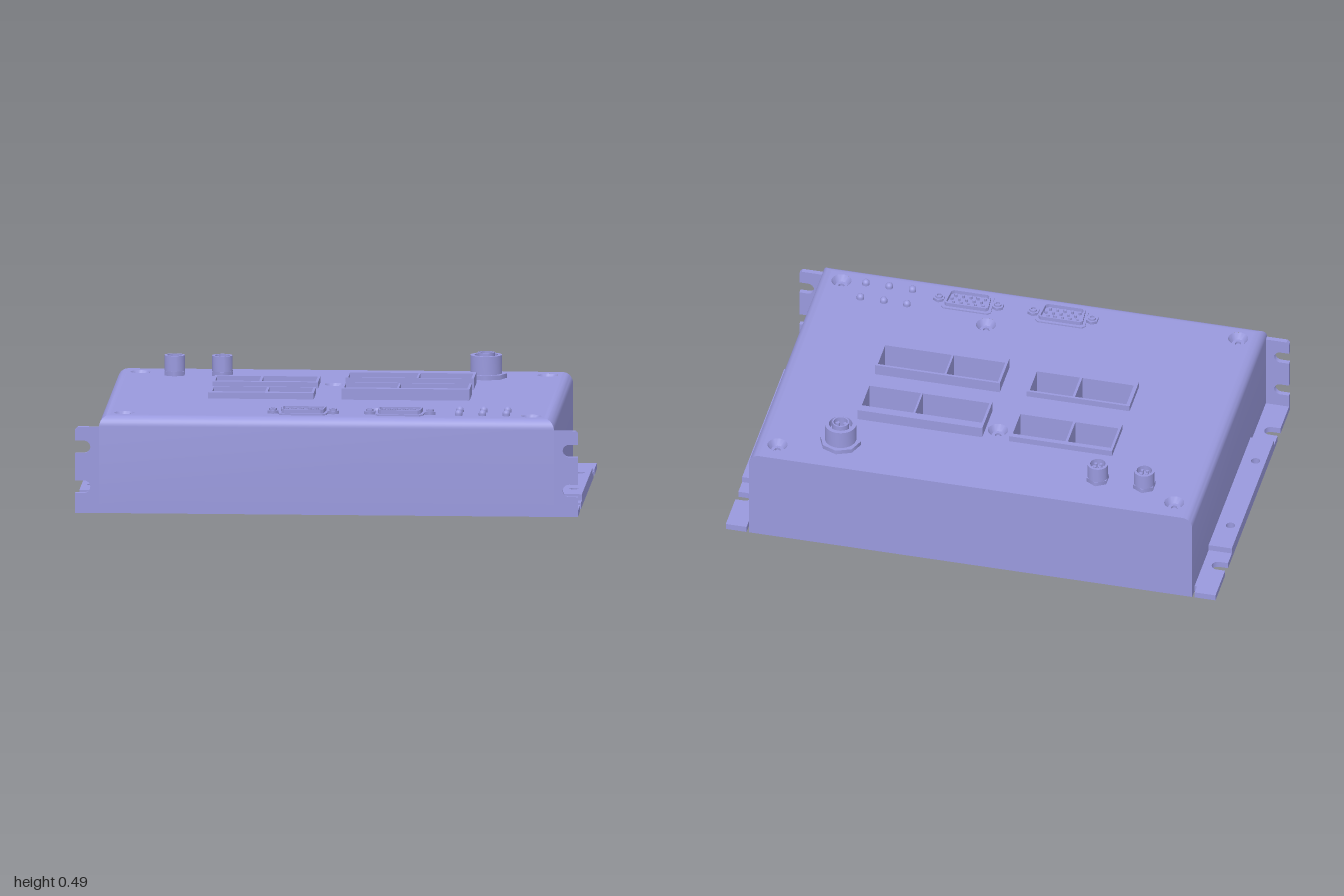
import * as THREE from 'three';
import { toCreasedNormals } from 'three/addons/utils/BufferGeometryUtils.js';

const mat = new THREE.MeshStandardMaterial({ color: 0x9999dd });
const thin = new THREE.MeshStandardMaterial({ color: 0x9999dd, side: THREE.DoubleSide });
const W = 0.905, D = 0.64, TOP = 0.39, R = 0.042, BASE = 0.025;

const poly = pts => new THREE.Shape(pts.map(p => new THREE.Vector2(p[0], p[1])));
const rect = (x0, x1, z0, z1) => poly([[x0, z0], [x1, z0], [x1, z1], [x0, z1]]);
const disc = (x, z, r) => new THREE.Shape().absarc(x, z, r, 0, Math.PI * 2, false);

// Outline in (x, z) extruded between two heights
function slab(shape, y0, y1) {
  const g = new THREE.ExtrudeGeometry(shape, { depth: y1 - y0, bevelEnabled: false, curveSegments: 16 });
  return g.rotateX(Math.PI / 2).translate(0, y1, 0);
}

function add(parent, name, geo, x = 0, y = 0, z = 0, material = mat) {
  const m = new THREE.Mesh(geo, material);
  m.name = name;
  m.position.set(x, y, z);
  parent.add(m);
  return m;
}

// Upright cylinder standing on height y
function post(parent, name, x, y, z, r, h, sides = 24) {
  return add(parent, name, new THREE.CylinderGeometry(r, r, h, sides), x, y + h / 2, z);
}

// Open tube with a rim, from y0 to y1
function sleeve(parent, name, x, z, r, inner, y0, y1) {
  const s = disc(0, 0, r);
  s.holes.push(disc(0, 0, inner));
  add(parent, name, toCreasedNormals(slab(s, y0, y1), 0.6), x, 0, z);
}

const screws = [[-0.81, -0.55], [0.81, -0.55], [-0.81, 0.545], [0.81, 0.545], [-0.02, -0.255], [0.185, 0.4]];

// Sockets: outer x range, outer z range, pocket z range, pocket x ranges, height
const sockets = [
  { x: [-0.5, -0.08], z: [-0.315, -0.14], pz: [-0.295, -0.165], px: [[-0.49, -0.315], [-0.305, -0.09]], top: 0.415 },
  { x: [0.03, 0.54], z: [-0.315, -0.14], pz: [-0.28, -0.15], px: [[0.04, 0.312], [0.32, 0.53]], top: 0.435 },
  { x: [-0.5, -0.08], z: [-0.015, 0.15], pz: [-0.005, 0.12], px: [[-0.485, -0.275], [-0.265, -0.09]], top: 0.415 },
  { x: [0.03, 0.54], z: [-0.015, 0.15], pz: [-0.005, 0.12], px: [[0.04, 0.25], [0.258, 0.53]], top: 0.435 },
];

function addCover(g) {
  // Wall profile: inset and height, rounded at the top
  const rows = [[0, BASE]];
  for (let i = 0; i <= 8; i++) {
    const a = i / 8 * Math.PI / 2;
    rows.push([R * (1 - Math.cos(a)), TOP - R + R * Math.sin(a)]);
  }
  const ring = ([d, y]) => [[-W + d, y, -D], [-W + d, y, D - d], [W - d, y, D - d], [W - d, y, -D]];
  const pos = [];
  for (let i = 0; i < rows.length - 1; i++) {
    const a = ring(rows[i]), b = ring(rows[i + 1]);
    for (let k = 0; k < 3; k++) pos.push(...a[k], ...a[k + 1], ...b[k + 1], ...a[k], ...b[k + 1], ...b[k]);
  }
  const walls = new THREE.BufferGeometry();
  walls.setAttribute('position', new THREE.Float32BufferAttribute(pos, 3));
  add(g, 'coverWalls', toCreasedNormals(walls, 0.5));

  const right = rows.map(([d, y]) => [W - d, y]);
  const left = rows.map(([d, y]) => [-W + d, y]).reverse();
  add(g, 'coverBack', new THREE.ShapeGeometry(poly([...right, ...left])).rotateY(Math.PI), 0, 0, -D);

  // Top face with screw and socket openings
  const top = rect(-W + R, W - R, -D, D - R);
  for (const [x, z] of screws) top.holes.push(disc(x, z, 0.04));
  for (const s of sockets) for (const p of s.px) top.holes.push(rect(p[0], p[1], ...s.pz));
  add(g, 'coverTop', new THREE.ShapeGeometry(top, 16).rotateX(Math.PI / 2), 0, TOP, 0, thin);

  // Countersunk screws
  const bowl = [[0, -0.035], [0.012, -0.035], [0.012, -0.025], [0.025, -0.025], [0.04, 0]].map(p => new THREE.Vector2(...p));
  for (const [x, z] of screws) add(g, 'countersunkScrew', toCreasedNormals(new THREE.LatheGeometry(bowl, 24), 0.5), x, TOP, z, thin);
}

function addMounting(g) {
  // Base plate with open slots, relief cuts at the back and screw holes
  const s = new THREE.Shape().moveTo(-1, -D).lineTo(-0.915, -D).lineTo(-0.915, -0.6).lineTo(-W, -0.6).lineTo(-W, -D);
  s.lineTo(W, -D).lineTo(W, -0.6).lineTo(0.915, -0.6).lineTo(0.915, -D).lineTo(1, -D);
  for (const z of [-0.45, 0.45]) s.lineTo(1, z - 0.025).absarc(0.965, z, 0.025, -Math.PI / 2, Math.PI / 2, true).lineTo(1, z + 0.025);
  s.lineTo(1, D).lineTo(-1, D);
  for (const z of [0.45, -0.45]) s.lineTo(-1, z + 0.025).absarc(-0.965, z, 0.025, Math.PI / 2, -Math.PI / 2, true).lineTo(-1, z - 0.025);
  for (const x of [-0.96, 0.96]) for (const z of [-0.215, 0.215]) s.holes.push(disc(x, z, 0.028));
  add(g, 'basePlate', slab(s, 0, BASE));

  for (const side of [1, -1]) {
    // Cover flange lying on the base plate
    const f = rect(Math.min(side * W, side), Math.max(side * W, side), -0.36, 0.36);
    for (const z of [-0.215, 0.215]) f.holes.push(disc(side * 0.96, z, 0.018));
    add(g, 'sideFlange', slab(f, BASE, 0.05));

    // Front ear with two open slots
    const e = new THREE.Shape().moveTo(W, BASE).lineTo(1, BASE);
    for (const y of [0.105, 0.265]) e.lineTo(1, y - 0.025).absarc(0.965, y, 0.025, -Math.PI / 2, Math.PI / 2, true).lineTo(1, y + 0.025);
    e.lineTo(1, 0.335).lineTo(0.99, 0.345).lineTo(W, 0.345);
    const ear = new THREE.ExtrudeGeometry(e, { depth: 0.02, bevelEnabled: false }).translate(0, 0, -0.01);
    if (side < 0) ear.rotateY(Math.PI);
    add(g, 'frontEar', ear, 0, 0, D - 0.01);
  }
}

function addSocket(g, s) {
  const frame = rect(...s.x, ...s.z);
  for (const p of s.px) frame.holes.push(rect(p[0], p[1], ...s.pz));
  add(g, 'socketFrame', slab(frame, 0.28, s.top));
  add(g, 'socketFloor', slab(rect(...s.x, ...s.z), 0.27, 0.28));
}

function addPinConnector(g, x, z) {
  // D-shaped shell, wider towards the back
  const outline = (w, h) => {
    const c = Math.min(w, h) * 0.2;
    return poly([[-w + c, -h], [w - c, -h], [w, -h + c], [w - c * 0.7, h - c], [w - c * 1.9, h], [-w + c * 1.9, h], [-w + c * 0.7, h - c], [-w, -h + c]]);
  };
  add(g, 'connectorFlange', slab(outline(0.102, 0.058), TOP, 0.396), x, 0, z);
  const shell = outline(0.09, 0.046);
  shell.holes.push(outline(0.083, 0.04));
  add(g, 'connectorShell', slab(shell, 0.396, 0.412), x, 0, z);
  for (let r = 0; r < 3; r++) for (let i = 0; i < 5; i++) {
    post(g, 'connectorPin', x + (i - 2) * 0.03 + (r === 1 ? 0.008 : -0.004), 0.396, z + (r - 1) * 0.022, 0.006, 0.012, 8);
  }
  for (const d of [-0.12, 0.12]) {
    post(g, 'hexStandoff', x + d, TOP, z, 0.025, 0.012, 6);
    sleeve(g, 'standoffCollar', x + d, z, 0.015, 0.009, 0.402, 0.41);
  }
}

function addRoundConnector(g, x, z, r, baseR, baseSides, baseH, top, pinR) {
  post(g, 'roundConnectorBase', x, TOP, z, baseR, baseH, baseSides);
  sleeve(g, 'roundConnectorSleeve', x, z, r, r * 0.74, TOP + baseH, top);
  post(g, 'roundConnectorCore', x, TOP, z, r * 0.76, (top - TOP) * 0.65, 24);
  for (let i = 0; i < 4; i++) {
    const a = Math.PI / 4 + i * Math.PI / 2;
    post(g, 'roundConnectorPin', x + Math.cos(a) * r * 0.36, TOP, z + Math.sin(a) * r * 0.36, pinR, top - TOP - 0.008, 10);
  }
}

export function createModel() {
  const g = new THREE.Group();
  g.name = 'controlBox';
  addCover(g);
  addMounting(g);
  sockets.forEach(s => addSocket(g, s));
  addPinConnector(g, -0.1, 0.52);
  addPinConnector(g, 0.285, 0.52);

  // Two small round connectors and one large one
  for (const x of [-0.67, -0.48]) addRoundConnector(g, x, -0.475, 0.041, 0.046, 6, 0.018, 0.47, 0.006);
  addRoundConnector(g, 0.57, -0.475, 0.063, 0.083, 8, 0.018, 0.482, 0.009);
  sleeve(g, 'largeConnectorInsert', 0.57, -0.475, 0.034, 0.028, 0.42, 0.492);

  // Indicator lamps
  for (const x of [0.52, 0.615, 0.71]) for (const z of [0.45, 0.545]) {
    post(g, 'lampStem', x, TOP, z, 0.015, 0.008, 16);
    add(g, 'lampDome', new THREE.SphereGeometry(0.015, 16, 8, 0, Math.PI * 2, 0, Math.PI / 2), x, 0.398, z);
  }
  return g;
}
